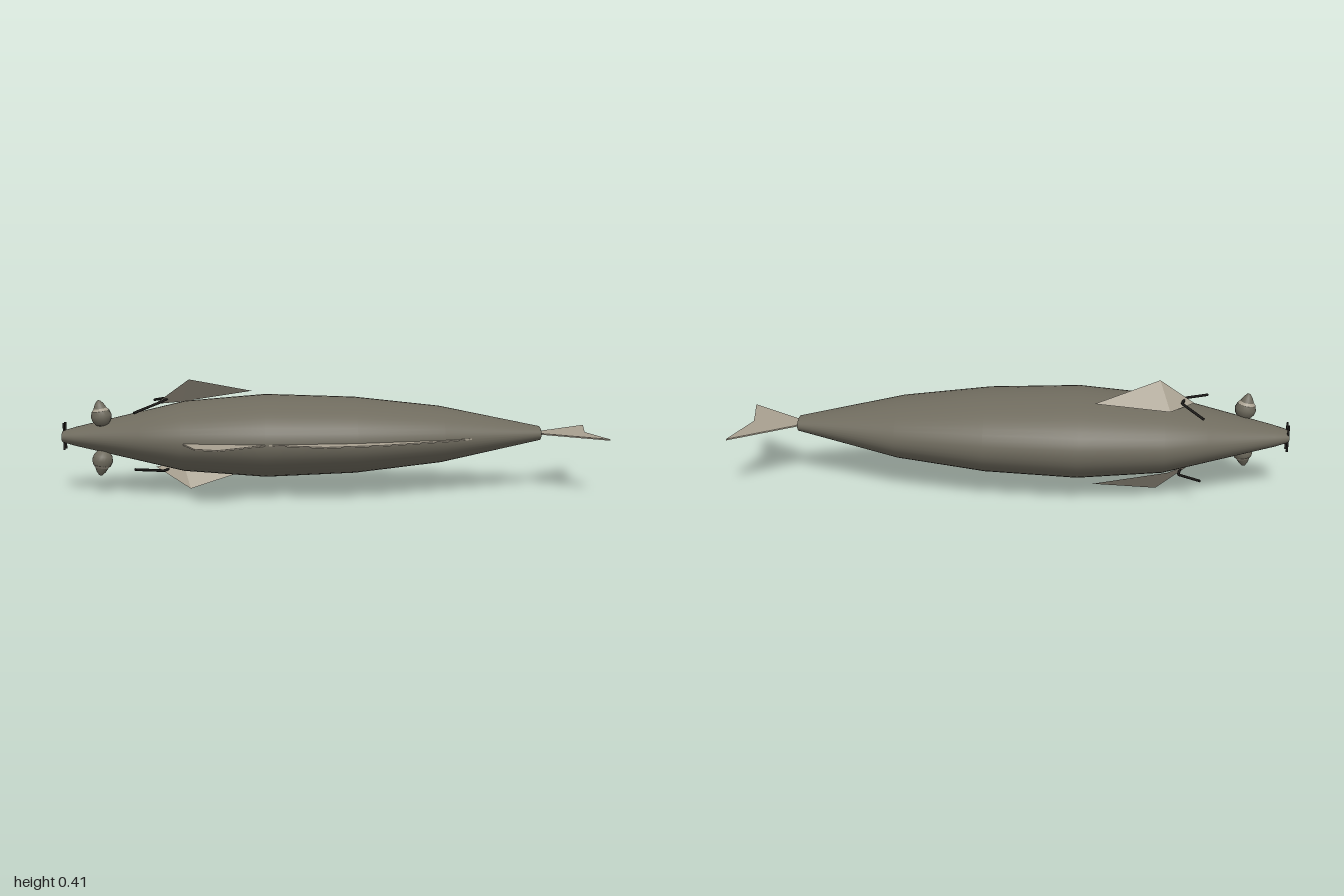
import * as THREE from 'three';

const MID_Y = 0.207, MID_Z = -0.055;

function material(name, color, flat = false) {
  const m = new THREE.MeshStandardMaterial({ color, flatShading: flat, side: THREE.DoubleSide });
  m.name = name;
  return m;
}

export function createModel() {
  const skin = material('olive grey skin', 0x6f6b5e);
  const finMat = material('pale fin', 0xa8a090, true);
  const dark = material('dark line', 0x1e1c1a);
  const model = new THREE.Group();
  model.name = 'fish';

  const add = (parent, name, geometry, mat) => {
    const mesh = new THREE.Mesh(geometry, mat);
    mesh.name = name;
    parent.add(mesh);
    return mesh;
  };
  const v2 = list => list.map(([a, b]) => new THREE.Vector2(a, b));

  // Body: a lathe along x, flattened sideways and open at mouth and tail
  const profile = v2([
    [0.036, -1], [0.060, -0.95], [0.158, -0.7], [0.217, -0.55], [0.257, -0.25],
    [0.237, 0.08], [0.177, 0.4], [0.044, 0.78],
  ]);
  const body = new THREE.LatheGeometry(profile, 48);
  body.rotateZ(-Math.PI / 2).scale(1, 0.59, 1);
  add(model, 'body', body, skin).position.set(0, MID_Y, MID_Z);

  // Thin fins lying in the body's middle plane, outlined in x and z
  const flatFin = (name, outline) => {
    const t = 0.005;
    const g = new THREE.ExtrudeGeometry(new THREE.Shape(v2(outline)), { depth: t, bevelEnabled: false });
    g.rotateX(Math.PI / 2).translate(0, MID_Y + t / 2, 0);
    add(model, name, g, finMat);
  };
  flatFin('tailFin', [[0.77, -0.077], [1, -0.245], [0.973, -0.13], [0.955, -0.055], [0.97, 0.01], [1, 0.13], [0.77, -0.033]]);
  flatFin('frontEdgeFin', [[-0.54, 0.12], [-0.54, 0.165], [-0.49, 0.28], [-0.41, 0.31], [-0.33, 0.26], [-0.24, 0.195], [-0.3, 0.14]]);
  flatFin('longEdgeFin', [[-0.25, 0.14], [-0.24, 0.2], [-0.04, 0.26], [0.165, 0.225], [0.4, 0.14], [0.57, 0.05], [0.6, 0.0], [0.3, 0.05]]);

  // Bars across the mouth
  for (const z of [-0.051, -0.083]) {
    add(model, 'mouthBar', new THREE.CylinderGeometry(0.004, 0.004, 0.1, 8), dark).position.set(-0.996, MID_Y, z);
  }

  // Parts repeated on both flanks
  for (const side of [1, -1]) {
    const flank = new THREE.Group();
    flank.name = side > 0 ? 'upperFlank' : 'lowerFlank';
    flank.position.y = MID_Y;
    flank.scale.y = side;
    model.add(flank);

    // Pectoral fin standing off the flank
    const fin = new THREE.BufferGeometry();
    fin.setAttribute('position', new THREE.Float32BufferAttribute([
      -0.66, 0.118, -0.06, -0.535, 0.207, -0.08, -0.305, 0.151, -0.19, -0.57, 0.115, -0.155,
    ], 3));
    fin.setIndex([0, 1, 3, 1, 2, 3]);
    fin.computeVertexNormals();
    add(flank, 'pectoralFin', fin, finMat);

    // Gill line as straight thin rods
    const gill = new THREE.CurvePath();
    const points = [[-0.68, -0.22], [-0.612, -0.12], [-0.63, -0.04], [-0.72, 0.08]]
      .map(([x, z]) => new THREE.Vector3(x, 0.103 + (x + 0.72) * 0.3, z));
    for (let i = 0; i < 3; i++) gill.add(new THREE.LineCurve3(points[i], points[i + 1]));
    add(flank, 'gillLine', new THREE.TubeGeometry(gill, 36, 0.005, 6), dark);

    // Eye: ball, pale ring and pointed cap
    const eye = new THREE.Group();
    eye.name = 'eye';
    eye.position.set(-0.85, 0.083, -0.005);
    eye.rotation.z = 0.15;
    flank.add(eye);
    const turn = (name, pts, mat) => add(eye, name, new THREE.LatheGeometry(v2(pts), 20), mat);
    turn('eyeball', [[0, -0.042], [0.022, -0.034], [0.034, -0.018], [0.038, 0], [0.032, 0.018]], skin);
    turn('eyeRing', [[0.032, 0.018], [0.024, 0.027]], finMat);
    turn('eyeCap', [[0.024, 0.027], [0.017, 0.042], [0.007, 0.055], [0, 0.058]], skin);
  }
  return model;
}
